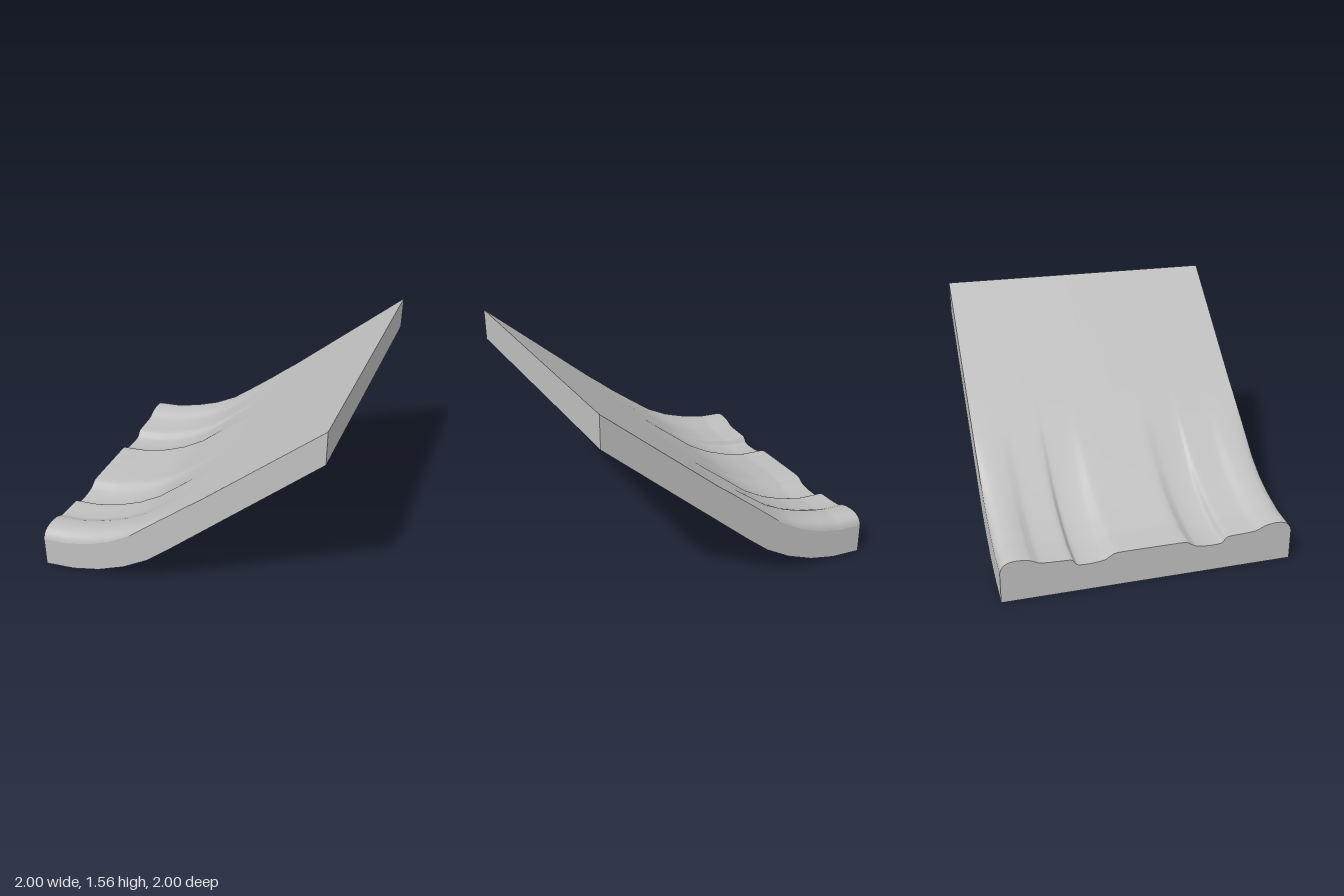
import * as THREE from 'three';

// Side profiles (x, y): crest of the upper surface and the underside
const CREST = [[-1, 0.293], [-0.82, 0.307], [-0.64, 0.35], [-0.47, 0.407], [-0.31, 0.487], [-0.2, 0.567], [0, 0.713], [0.2, 0.87], [1, 1.56]];
const UNDER = [[-1, 0], [-0.78, 0.02], [-0.58, 0.07], [-0.38, 0.155], [-0.2, 0.265], [-0.03, 0.41], [1, 1.335]];

// Half of the mirrored moulding section: (z, depth below the crest)
const MOULDING = [[0, 0.047], [0.14, 0.047], [0.24, 0.05], [0.28, 0.07], [0.32, 0.09], [0.4, 0.1], [0.49, 0.097],
  [0.515, 0.075], [0.54, 0.053], [0.63, 0.048], [0.73, 0.042], [0.77, 0.028], [0.81, 0.01], [0.88, 0.0],
  [0.94, 0.006], [0.975, 0.026], [0.992, 0.05], [1, 0.075]];

// Straight-line lookup in a profile
function heightAt(profile, x) {
  let i = 0;
  while (i < profile.length - 2 && x > profile[i + 1][0]) i++;
  const [[x0, y0], [x1, y1]] = [profile[i], profile[i + 1]];
  return y0 + (y1 - y0) * (x - x0) / (x1 - x0);
}

// How strongly the moulding shows; it melts into the straight ramp
const fade = (x) => 1 - THREE.MathUtils.smoothstep(x, -0.75, 0.17);

// Grid of points; the surface faces v cross u
function grid(us, vs, point) {
  const positions = [], index = [], n = vs.length;
  us.forEach((u) => vs.forEach((v) => positions.push(...point(u, v))));
  for (let i = 0; i < us.length - 1; i++) {
    for (let j = 0; j < n - 1; j++) {
      const a = i * n + j;
      index.push(a, a + 1, a + n, a + 1, a + n + 1, a + n);
    }
  }
  const geometry = new THREE.BufferGeometry();
  geometry.setAttribute('position', new THREE.Float32BufferAttribute(positions, 3));
  geometry.setIndex(index);
  geometry.computeVertexNormals();
  return geometry;
}

export function createModel() {
  const group = new THREE.Group();
  group.name = 'curvedMoulding';
  const stone = new THREE.MeshStandardMaterial({ color: 0xc0c0c0 });
  stone.name = 'lightGrey';

  const add = (name, geometry) => {
    const mesh = new THREE.Mesh(geometry, stone);
    mesh.name = name;
    group.add(mesh);
  };

  // Smooth section across the full width
  const half = new THREE.SplineCurve(MOULDING.map(([z, d]) => new THREE.Vector2(z, d))).getPoints(68);
  const section = [...half.slice(1).reverse().map((p) => new THREE.Vector2(-p.x, p.y)), ...half];
  const edgeDepth = MOULDING[MOULDING.length - 1][1];

  const stations = [...new Set([...CREST, ...UNDER].map((p) => p[0]).concat([-0.1, 0.1]))].sort((a, b) => a - b);
  const topY = (x, depth) => heightAt(CREST, x) - depth * fade(x);
  const underY = (x) => heightAt(UNDER, x);

  // Moulded upper surface and plain underside
  add('mouldedTop', grid(stations, section, (x, p) => [x, topY(x, p.y), p.x]));
  add('underside', grid(UNDER.map((p) => p[0]), [1, -1], (x, z) => [x, underY(x), z]));

  // Flat side walls
  const wall = (x, top, z) => [x, top ? topY(x, edgeDepth) : underY(x), z];
  add('frontSide', grid(stations, [1, 0], (x, top) => wall(x, top, 1)));
  add('backSide', grid(stations, [0, 1], (x, top) => wall(x, top, -1)));

  // End faces: the profiled foot and the plain upper end
  const end = (x, p, top) => [x, top ? topY(x, p.y) : underY(x), p.x];
  add('footEnd', grid(section, [1, 0], (p, top) => end(-1, p, top)));
  add('upperEnd', grid(section, [0, 1], (p, top) => end(1, p, top)));

  return group;
}
